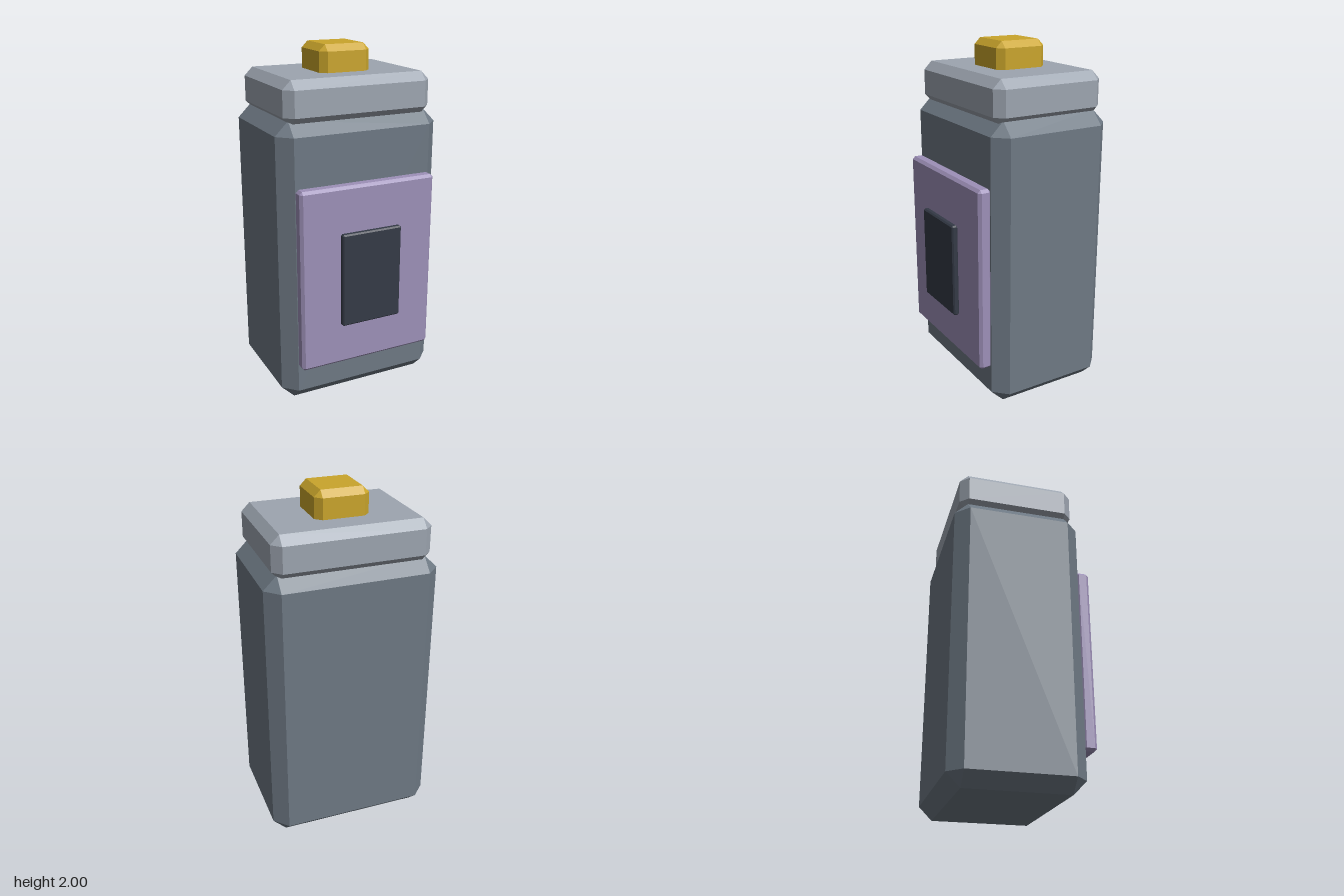
import * as THREE from 'three';
import { ConvexGeometry } from 'three/addons/geometries/ConvexGeometry.js';

// Box between two corners with every edge cut by a flat bevel of size c
function bevelBox(name, material, [x0, x1], [y0, y1], [z0, z1], c) {
  const half = [(x1 - x0) / 2, (y1 - y0) / 2, (z1 - z0) / 2];
  const points = [];
  for (const sx of [-1, 1]) for (const sy of [-1, 1]) for (const sz of [-1, 1]) {
    for (let face = 0; face < 3; face++) {
      const h = half.map((v, i) => (i === face ? v : v - c));
      points.push(new THREE.Vector3(sx * h[0], sy * h[1], sz * h[2]));
    }
  }
  const mesh = new THREE.Mesh(new ConvexGeometry(points), material);
  mesh.position.set((x0 + x1) / 2, (y0 + y1) / 2, (z0 + z1) / 2);
  mesh.name = name;
  return mesh;
}

function paint(name, color) {
  const material = new THREE.MeshStandardMaterial({ color });
  material.name = name;
  return material;
}

export function createModel() {
  const slate = paint('slate grey', 0x6e7984);
  const silver = paint('light grey', 0x9da5b0);
  const gold = paint('gold', 0xcaa52b);
  const lilac = paint('lilac', 0x9d90b8);
  const dark = paint('dark navy', 0x343a46);

  const group = new THREE.Group();
  group.name = 'canister';
  group.add(
    // main container and its cap
    bevelBox('body', slate, [-0.485, 0.485], [0, 1.64], [-0.418, 0.306], 0.076),
    bevelBox('lid', silver, [-0.438, 0.438], [1.61, 1.85], [-0.39, 0.28], 0.048),
    // button, sunk slightly into the lid
    bevelBox('topButton', gold, [-0.152, 0.152], [1.8, 2], [-0.208, 0.096], 0.036),
    // front panel with the dark plate just in front of it
    bevelBox('frontPanel', lilac, [-0.409, 0.409], [0.235, 1.29], [0.298, 0.375], 0.016),
    bevelBox('frontPlate', dark, [-0.181, 0.181], [0.488, 1.032], [0.381, 0.417], 0.008),
  );
  return group;
}
